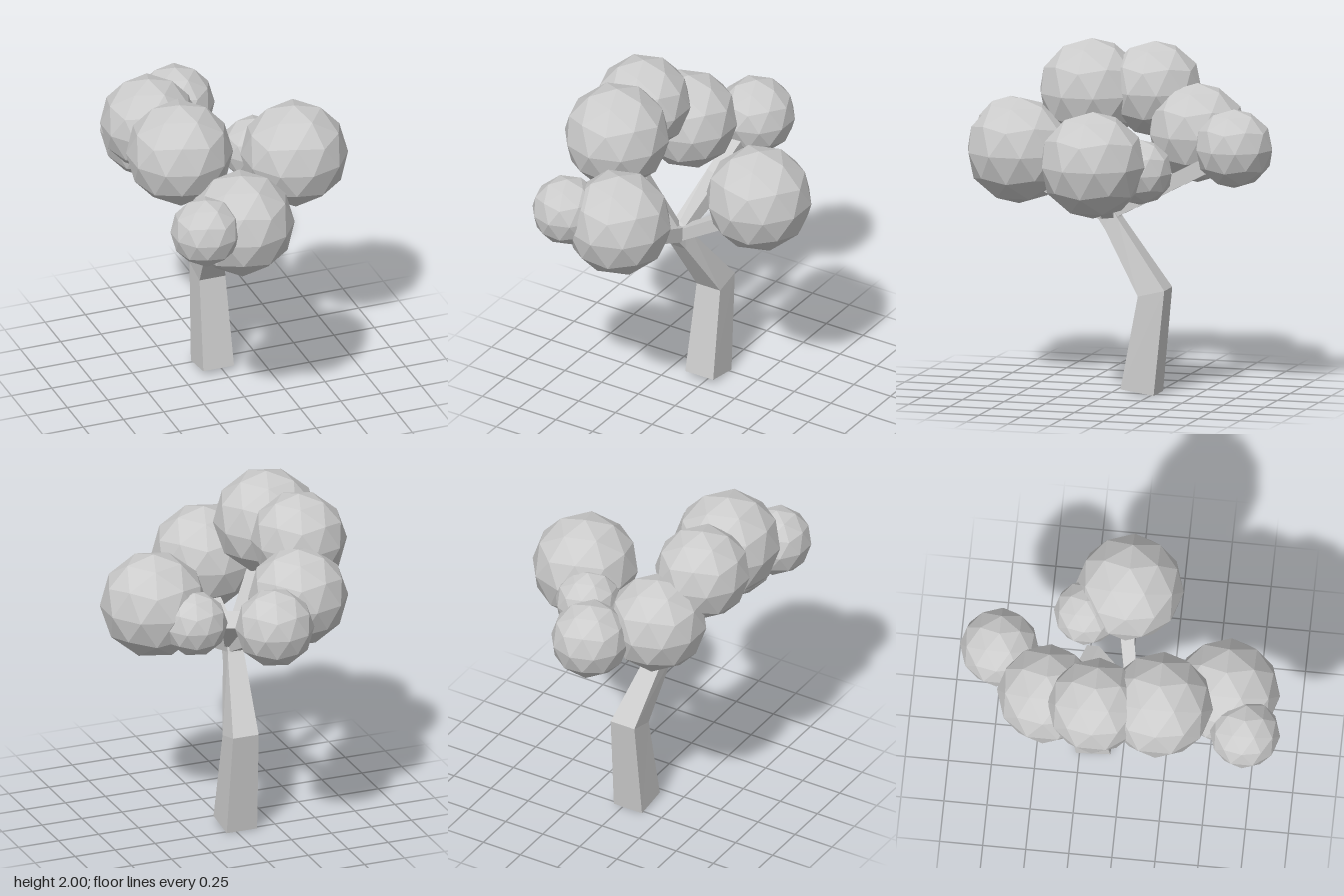
import * as THREE from 'three';

const V = (x, y, z) => new THREE.Vector3(x, y, z);

// Skin a list of four-cornered rings and close both ends
function loft(rings) {
  const pos = [];
  const quad = (a, b, c, d) => [a, b, c, a, c, d].forEach((p) => pos.push(p.x, p.y, p.z));
  for (let i = 0; i < rings.length - 1; i++) {
    const lo = rings[i], hi = rings[i + 1];
    for (let k = 0; k < 4; k++) {
      const n = (k + 1) % 4;
      quad(lo[k], lo[n], hi[n], hi[k]);
    }
  }
  const first = rings[0], last = rings[rings.length - 1];
  quad(first[3], first[2], first[1], first[0]);
  quad(...last);
  const geo = new THREE.BufferGeometry();
  geo.setAttribute('position', new THREE.Float32BufferAttribute(pos, 3));
  geo.computeVertexNormals();
  return geo;
}

// Trunk ring: x range, then height and depth of its front and back edges
const trunkRing = (x0, x1, yf, zf, yb, zb) =>
  [V(x0, yf, zf), V(x1, yf, zf), V(x1, yb, zb), V(x0, yb, zb)];

// Square ring of a given width around a point, facing along dir
function branchRing(center, dir, width) {
  const side = V(0, 1, 0).cross(dir).normalize();
  const up = dir.clone().cross(side);
  return [[-1, -1], [1, -1], [1, 1], [-1, 1]].map(([a, b]) =>
    center.clone().addScaledVector(side, a * width / 2).addScaledVector(up, b * width / 2));
}

function branchGeometry(from, to, w0, w1) {
  const dir = to.clone().sub(from).normalize();
  return loft([branchRing(from, dir, w0), branchRing(to, dir, w1)]);
}

export function createModel() {
  const tree = new THREE.Group();
  tree.name = 'tree';
  const material = new THREE.MeshStandardMaterial({ color: 0xcccccc, flatShading: true });
  const add = (name, geo) => {
    const mesh = new THREE.Mesh(geo, material);
    mesh.name = name;
    tree.add(mesh);
    return mesh;
  };

  // Bent trunk, leaning back and then forward to the fork
  add('trunk', loft([
    trunkRing(-0.13, 0.06, 0.03, -0.07, 0, -0.27),
    trunkRing(-0.115, 0.045, 0.575, -0.17, 0.615, -0.33),
    trunkRing(-0.15, -0.05, 0.94, 0.055, 1.01, -0.02),
    trunkRing(-0.15, -0.07, 1.04, 0.13, 1.09, 0.03),
  ]));

  // Branches: start, end, start width, end width
  const branches = [
    ['frontBranch', V(-0.1, 1.04, 0.07), V(-0.13, 1.19, 0.45), 0.09, 0.08],
    ['leftBranch', V(-0.09, 1.03, 0.05), V(0.26, 1.22, -0.02), 0.07, 0.08],
    ['upperBranch', V(-0.11, 1.03, 0.06), V(-0.34, 1.5, 0.18), 0.08, 0.08],
    ['backBranch', V(-0.11, 1.03, 0.05), V(-0.07, 1.38, -0.62), 0.08, 0.09],
    ['innerBranch', V(-0.09, 1.03, 0.05), V(0.01, 1.31, -0.21), 0.05, 0.11],
  ];
  for (const [name, from, to, w0, w1] of branches) add(name, branchGeometry(from, to, w0, w1));

  // Leaf balls: centre and radius; one icosphere turned to stand on a corner
  const ball = new THREE.IcosahedronGeometry(1, 1);
  ball.rotateZ(-Math.atan(2 / (1 + Math.sqrt(5))));
  const leaves = [
    [0.41, 1.395, -0.01, 0.312],
    [-0.16, 1.363, 0.608, 0.31],
    [-0.43, 1.428, 0.74, 0.205],
    [-0.4, 1.69, 0.243, 0.31],
    [-0.45, 1.713, -0.125, 0.28],
    [-0.325, 1.49, -0.42, 0.29],
    [-0.053, 1.453, -0.722, 0.23],
    [0.25, 1.34, -0.247, 0.19],
  ];
  leaves.forEach(([x, y, z, r], i) => {
    const leaf = add(`leafBall${i + 1}`, ball);
    leaf.position.set(x, y, z);
    leaf.scale.setScalar(r);
  });

  return tree;
}
